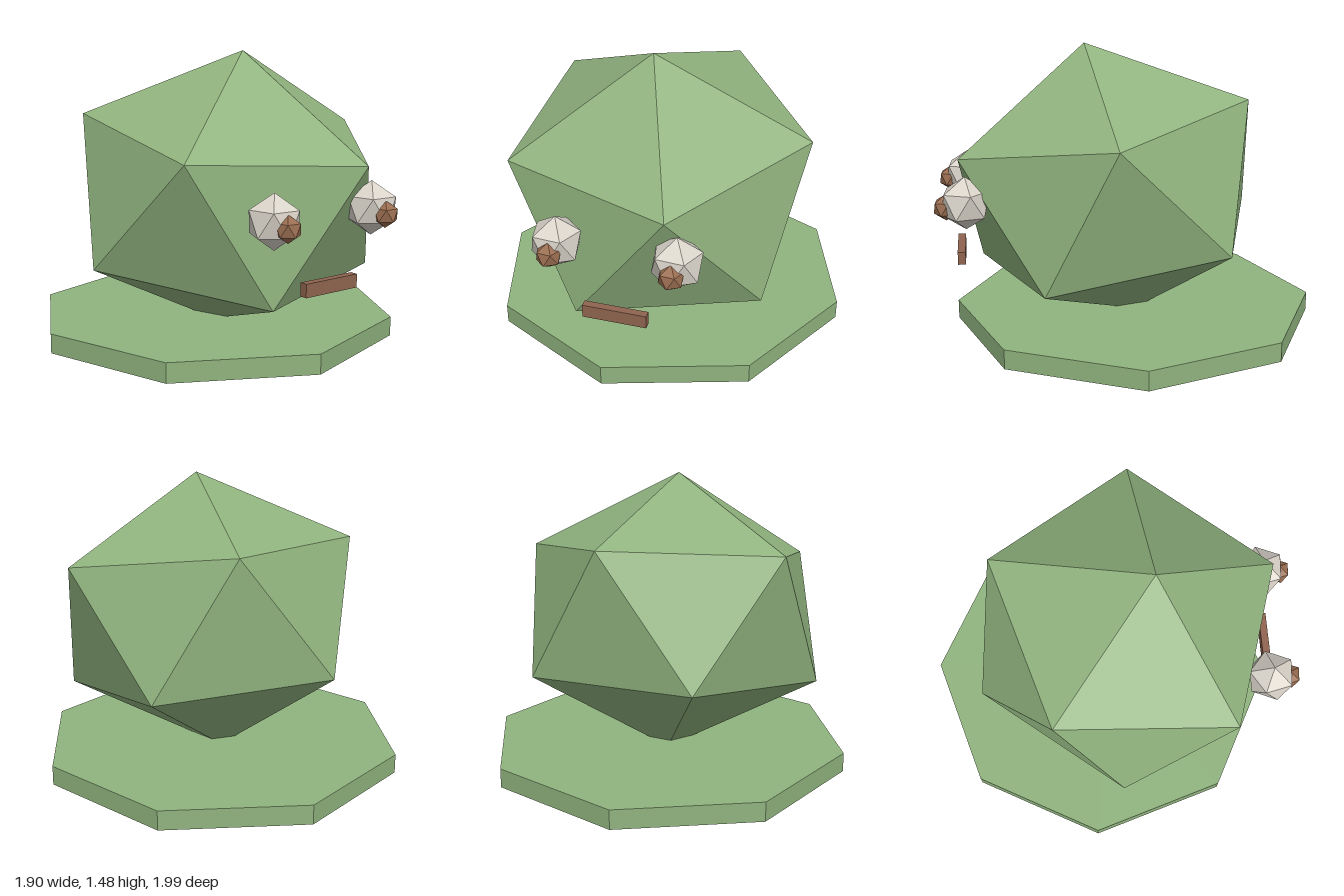
import * as THREE from 'three';
import { ConvexGeometry } from 'three/addons/geometries/ConvexGeometry.js';

function flat(name, color) {
  const m = new THREE.MeshStandardMaterial({ color, flatShading: true });
  m.name = name;
  return m;
}

export function createModel() {
  const group = new THREE.Group();
  const green = flat('leaf green', 0x90b37e);
  const ivory = flat('ivory', 0xdad4ca);
  const brown = flat('brown', 0x9a6d50);
  const clay = flat('reddish brown', 0x90644f);

  const add = (name, geometry, material, x, y, z) => {
    const mesh = new THREE.Mesh(geometry, material);
    mesh.name = name;
    mesh.position.set(x, y, z);
    group.add(mesh);
    return mesh;
  };

  // Octagonal slab
  add('base', new THREE.CylinderGeometry(0.948, 0.948, 0.1, 8), green, 0, 0.05, -0.05);

  // Tilted, slightly squashed icosahedron: six corners and their opposites
  const corners = [
    [0.007, 0.725, 0.13], [-0.583, 0.245, 0.56], [0.307, 0.195, 0.76],
    [-0.655, 0.405, -0.34], [0.777, 0.325, -0.01], [0.187, 0.455, -0.69],
  ].map((p) => new THREE.Vector3(...p));
  const all = corners.concat(corners.map((p) => p.clone().negate()));
  add('body', new ConvexGeometry(all), green, 0.003, 0.755, 0.08);

  // Icosahedron standing on one corner, two upper corners facing forward
  const ball = (radius) => new THREE.IcosahedronGeometry(radius, 0)
    .rotateZ(-Math.atan(2 / (1 + Math.sqrt(5))))
    .rotateY(Math.PI / 2);

  // Eyes and pupils
  for (const [side, x, z, px] of [['right', -0.232, 0.84, -0.224], ['left', 0.36, 0.805, 0.367]]) {
    add(side + 'Eye', ball(0.133), ivory, x, 0.743, z);
    add(side + 'Pupil', ball(0.066), brown, px, 0.725, z + 0.095);
  }

  // Straight mouth, turned with the face
  const mouth = add('mouth', new THREE.BoxGeometry(0.318, 0.066, 0.04), clay, 0.07, 0.413, 0.86);
  mouth.rotation.y = 0.08;

  return group;
}
